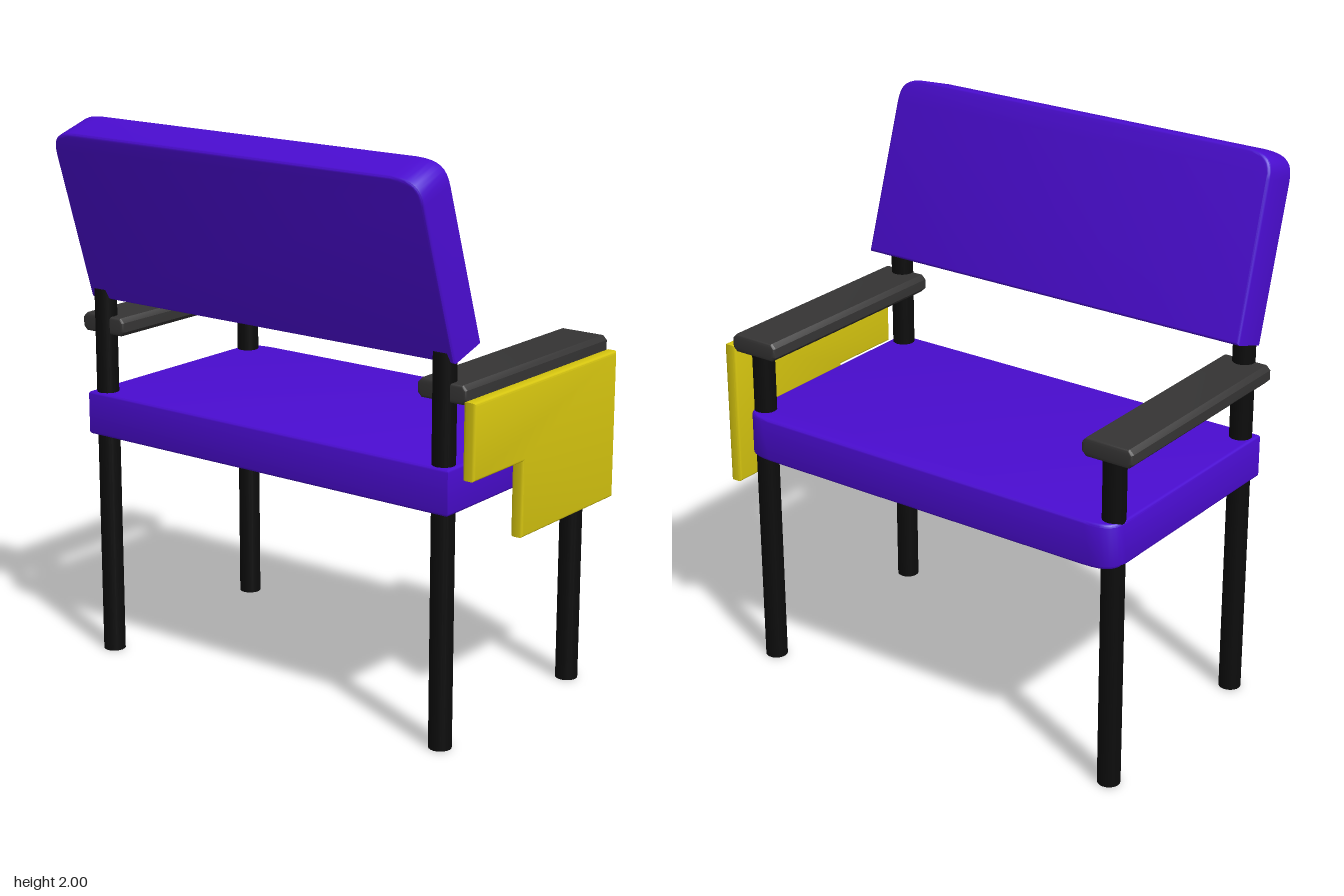
import * as THREE from 'three';
import { toCreasedNormals } from 'three/addons/utils/BufferGeometryUtils.js';

const mat = (color) => new THREE.MeshStandardMaterial({ color });

function polygon(points) {
  return new THREE.Shape(points.map(([x, y]) => new THREE.Vector2(x, y)));
}

// Extrudes a shape from z = 0 to z = depth with softened edges inside its outline
function softExtrude(shape, depth, bevel) {
  const geo = new THREE.ExtrudeGeometry(shape, {
    depth: depth - 2 * bevel, bevelThickness: bevel, bevelSize: bevel,
    bevelOffset: -bevel, bevelSegments: 3, curveSegments: 8,
  });
  geo.translate(0, 0, bevel);
  return toCreasedNormals(geo, 0.6);
}

// Cushion outline: square at y = 0, softly rounded at the far corners
function cushionGeometry(width, length, thickness) {
  const w = width / 2;
  const s = new THREE.Shape();
  s.moveTo(-w, 0);
  s.lineTo(w, 0);
  s.lineTo(w - 0.008, length - 0.09);
  s.bezierCurveTo(w - 0.01, length - 0.03, w - 0.03, length - 0.002, w - 0.12, length);
  s.lineTo(-w + 0.12, length);
  s.bezierCurveTo(-w + 0.03, length - 0.002, -w + 0.01, length - 0.03, -w + 0.008, length - 0.09);
  s.closePath();
  return softExtrude(s, thickness, 0.01);
}

export function createModel() {
  const model = new THREE.Group();
  model.name = 'armchair';
  const chair = new THREE.Group();
  chair.name = 'chair';
  chair.position.x = -0.028;
  model.add(chair);

  const fabric = mat(0x4a0cd0), black = mat(0x0c0c0c), dark = mat(0x353434), yellow = mat(0xd6c50f);

  const add = (parent, name, geo, material, x, y, z) => {
    const mesh = new THREE.Mesh(geo, material);
    mesh.name = name;
    mesh.position.set(x, y, z);
    parent.add(mesh);
    return mesh;
  };

  // Seat cushion lies flat, rounded corners toward the sitter's knees
  const seat = add(chair, 'seat', cushionGeometry(1.58, 0.91, 0.16), fabric, 0, 0.83, 0.373);
  seat.rotation.x = -Math.PI / 2;

  // Reclined backrest cushion
  const back = add(chair, 'backrest', cushionGeometry(1.58, 0.65, 0.155), fabric, 0, 1.38, 0.195);
  back.rotation.x = 0.305;

  // Armrest cross-section: flat slab with chamfered long edges
  const aw = 0.097, ah = 0.033, c = 0.016;
  const armGeo = softExtrude(polygon([
    [-aw + c, -ah], [aw - c, -ah], [aw, -ah + c], [aw, ah - c],
    [aw - c, ah], [-aw + c, ah], [-aw, ah - c], [-aw, -ah + c],
  ]), 0.86, 0.01);

  const postGeo = (h) => new THREE.CylinderGeometry(0.04, 0.04, h, 20).translate(0, h / 2, 0);
  const longPost = postGeo(1.37), shortPost = postGeo(1.22);

  for (const [side, x] of [['left', 0.74], ['right', -0.74]]) {
    add(chair, side + 'BackrestPost', longPost, black, x, 0, 0.325);
    add(chair, side + 'ArmPost', shortPost, black, x, 0, -0.463);
    add(chair, side + 'Armrest', armGeo, dark, x, 1.238, -0.515);
  }

  // L-shaped side panel, outline drawn as (-z, y) and turned to face +x
  const panel = add(model, 'sidePanel', softExtrude(polygon([
    [-0.353, 0.96], [-0.065, 0.96], [-0.065, 0.695],
    [0.512, 0.695], [0.512, 1.222], [-0.353, 1.222],
  ]), 0.046, 0.01), yellow, 0.804, 0, 0);
  panel.rotation.y = Math.PI / 2;

  return model;
}
